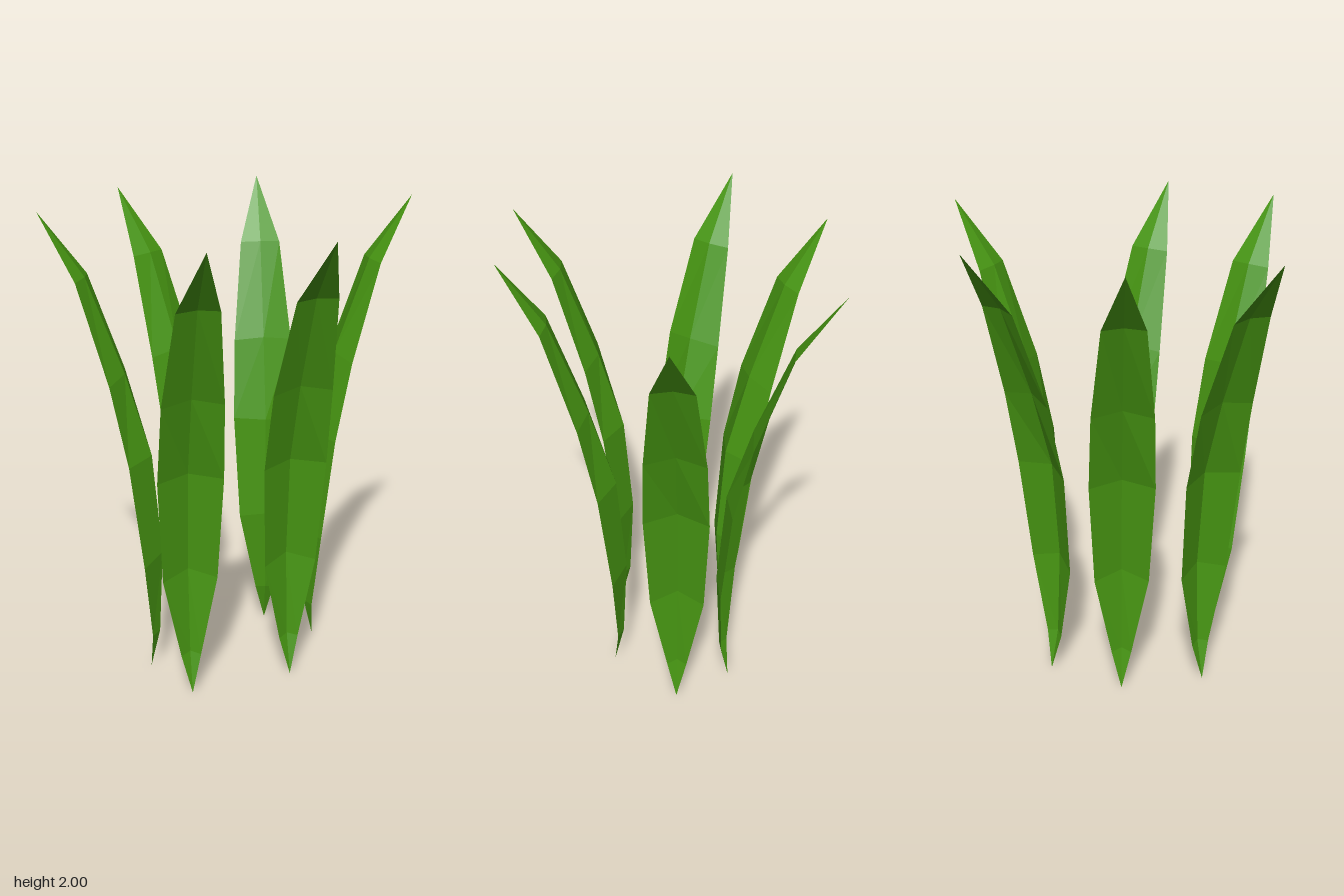
import * as THREE from 'three';

const leafGreen = new THREE.MeshStandardMaterial({ color: 0x479612, flatShading: true, side: THREE.DoubleSide });
leafGreen.name = 'leaf green';

// Folded blade cross-sections: [edge outward, edge y, half width, keel outward, keel y]
const SECTIONS = [
  [0.042, 0.17, 0.042, 0.020, 0.18],
  [0.051, 0.53, 0.114, 0.000, 0.56],
  [0.098, 0.99, 0.135, 0.035, 1.00],
  [0.170, 1.33, 0.125, 0.138, 1.35],
  [0.303, 1.74, 0.085, 0.288, 1.745],
];
const BASE = [0.063, 0, 0];
const TIP = [0.473, 2, 0];

// One blade leaning toward local +x, with its keel on the inner side
function bladeGeometry() {
  const rows = SECTIONS.map(([s, y, w, ks, ky]) => [[s, y, -w], [ks, ky, 0], [s, y, w]]);
  const pos = [];
  const tri = (a, b, c) => pos.push(...a, ...b, ...c);
  const last = rows[rows.length - 1];
  for (let j = 0; j < 2; j++) {
    tri(BASE, rows[0][j + 1], rows[0][j]);
    for (let i = 0; i < rows.length - 1; i++) {
      const a = rows[i], b = rows[i + 1];
      tri(a[j], a[j + 1], b[j + 1]);
      tri(a[j], b[j + 1], b[j]);
    }
    tri(last[j], last[j + 1], TIP);
  }
  const geo = new THREE.BufferGeometry();
  geo.setAttribute('position', new THREE.Float32BufferAttribute(pos, 3));
  geo.computeVertexNormals();
  return geo;
}

// Ring of blades: [x, z, outward angle in degrees from +x toward +z]
const BLADES = [
  [0.056, 0.212, 104.2],
  [-0.372, 0.115, 110.4],
  [-0.383, -0.076, 222.9],
  [-0.088, -0.220, 253.8],
  [0.204, -0.158, 298.1],
  [0.267, 0.025, 14.4],
];

export function createModel() {
  const model = new THREE.Group();
  model.name = 'grassTuft';
  const geo = bladeGeometry();
  BLADES.forEach(([x, z, angle], i) => {
    const blade = new THREE.Mesh(geo, leafGreen);
    blade.name = `grassBlade${i + 1}`;
    blade.position.set(x, 0, z);
    blade.rotation.y = -THREE.MathUtils.degToRad(angle);
    model.add(blade);
  });
  return model;
}
